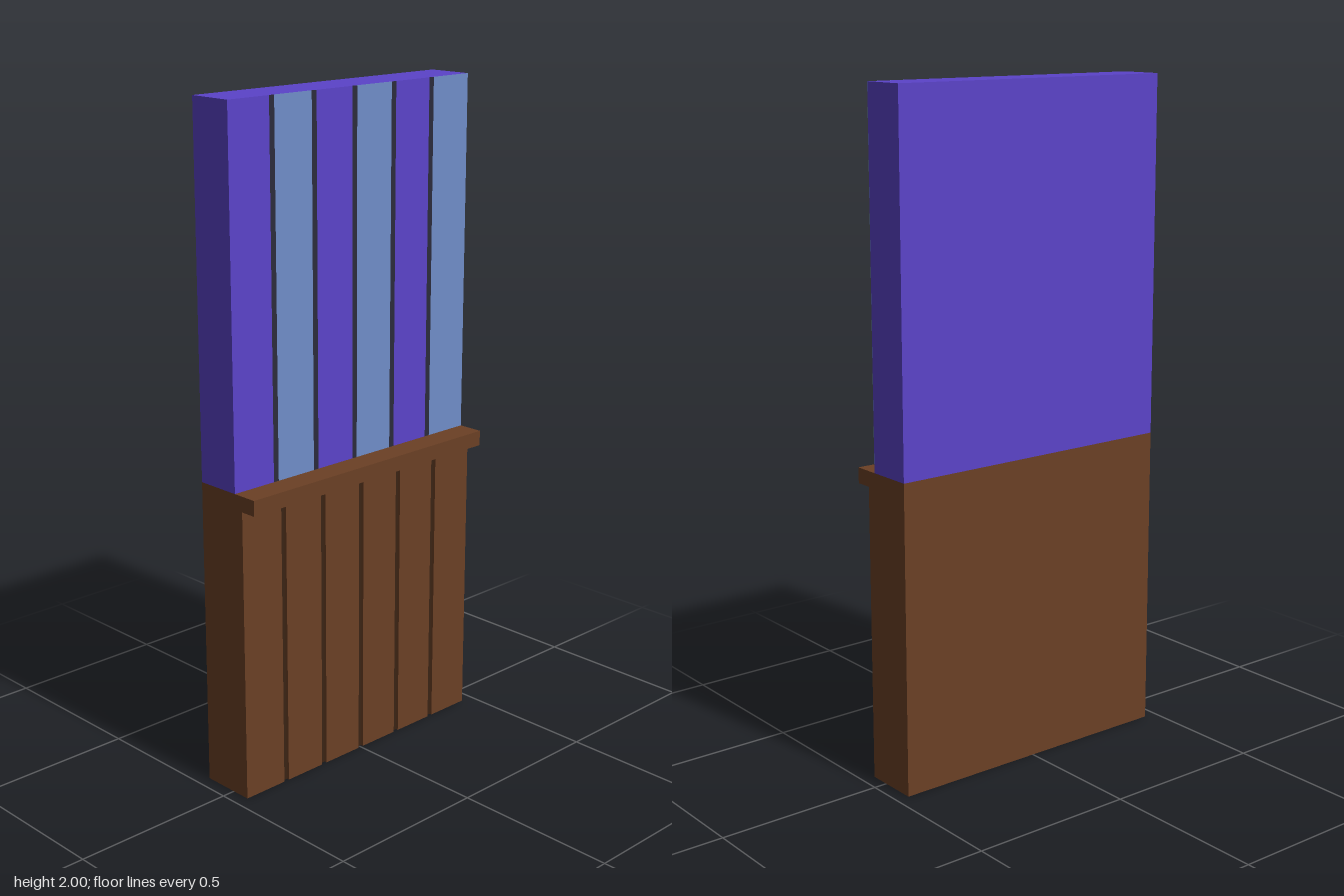
import * as THREE from 'three';

const mat = (color) => new THREE.MeshStandardMaterial({ color });

export function createModel() {
  const group = new THREE.Group();
  group.name = 'wallPanel';
  const brown = mat(0x6b4025), darkBrown = mat(0x3a2314);
  const purple = mat(0x5b43c9), blue = mat(0x6f8dc8), dark = mat(0x2b2b3b);

  // Box given by its lower and upper limits on each axis
  const box = (name, material, x0, x1, y0, y1, z0, z1) => {
    const mesh = new THREE.Mesh(new THREE.BoxGeometry(x1 - x0, y1 - y0, z1 - z0), material);
    mesh.position.set((x0 + x1) / 2, (y0 + y1) / 2, (z0 + z1) / 2);
    mesh.name = name;
    group.add(mesh);
  };

  const half = 0.46, railBottom = 0.88, railTop = 0.926;
  const count = 6, pitch = (2 * half) / count, gap = 0.009;

  // Wall cores and the projecting rail
  box('wainscotCore', brown, -0.11, 0.05, 0, railTop, -half, half);
  box('upperWall', purple, -0.11, 0.03, railTop, 2, -half, half);
  box('chairRail', brown, 0.05, 0.11, railBottom, railTop, -half, half);

  for (let i = 0; i < count; i++) {
    const top = half - i * pitch, bottom = top - pitch;
    const z1 = i === 0 ? top : top - gap;
    const z0 = i === count - 1 ? bottom : bottom + gap;
    // Wooden plank below, wallpaper stripe above
    box('plank', brown, 0.05, 0.06, 0, railBottom, z0, z1);
    box('wallpaperStripe', i % 2 ? blue : purple, 0.03, 0.031, railTop, 2, z0, z1);
    // Dark joint after every plank and stripe but the last
    if (i < count - 1) {
      box('plankGroove', darkBrown, 0.05, 0.052, 0, railBottom, bottom - gap, bottom + gap);
      box('stripeLine', dark, 0.03, 0.031, railTop, 2, bottom - gap, bottom + gap);
    }
  }
  return group;
}
